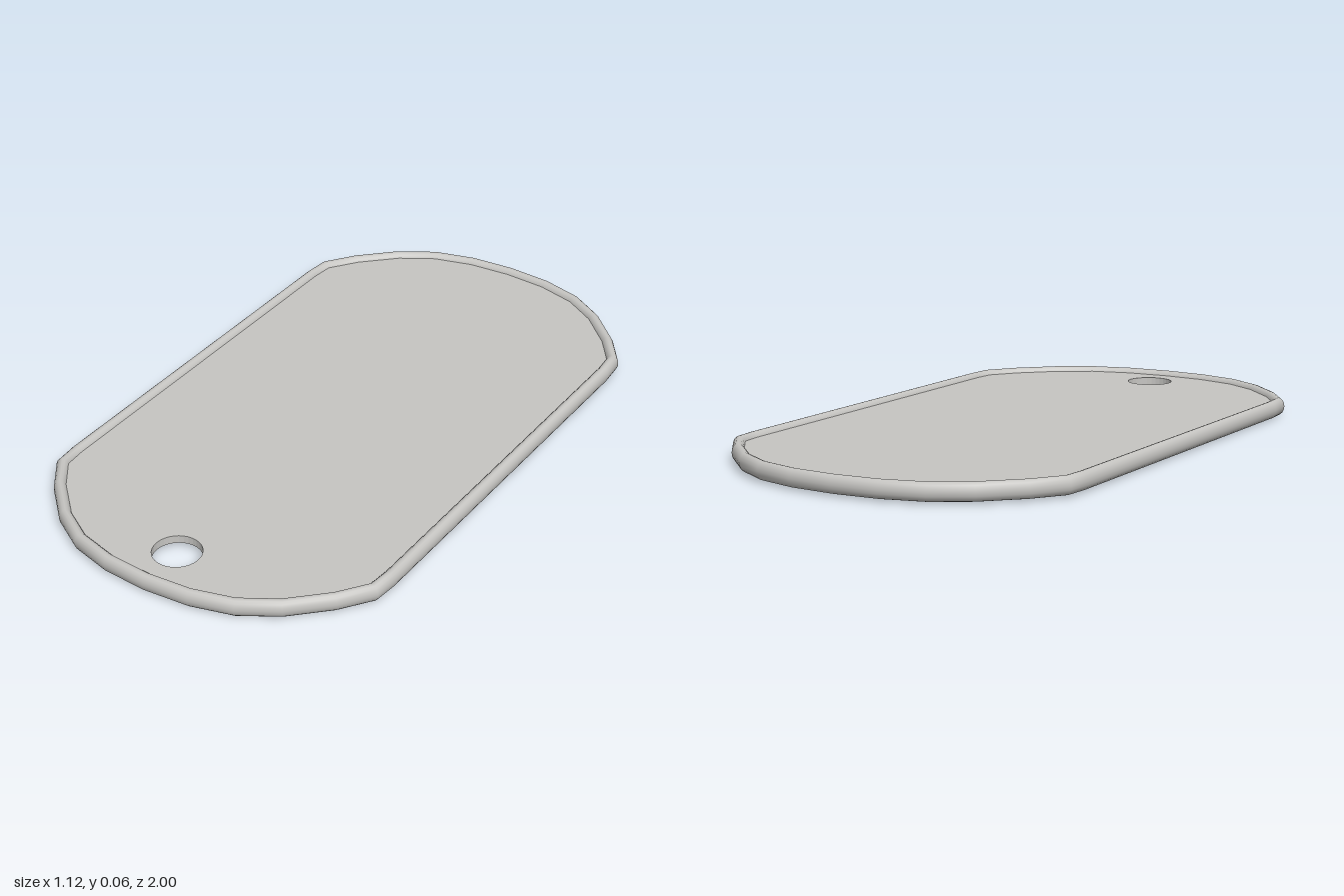
import * as THREE from 'three';

// Closed tag outline in (x, z), starting on the +x side and running towards +z
function outlinePoints() {
  const quarter = [[0.56, 0.61], [0.553, 0.69], [0.485, 0.785], [0.38, 0.888], [0.27, 0.955], [0.14, 0.99]];
  const half = [...quarter, [0, 1], ...quarter.map(([x, z]) => [-x, z]).reverse()];
  return [...half, ...half.map(([x, z]) => [-x, -z])].map(([x, z]) => new THREE.Vector2(x, z));
}

// Mitred inward direction at every outline corner
function inwardDirections(points) {
  const n = points.length;
  const edgeNormal = (a, b) => {
    const d = b.clone().sub(a).normalize();
    return new THREE.Vector2(-d.y, d.x);
  };
  return points.map((p, i) => {
    const a = edgeNormal(points[(i + n - 1) % n], p);
    const b = edgeNormal(p, points[(i + 1) % n]);
    return a.clone().add(b).divideScalar(1 + a.dot(b));
  });
}

// Rounded bead swept around the outline
function rimGeometry(points, inward) {
  const sides = 16, radiusX = 0.019, radiusY = 0.027;
  const positions = [], index = [];
  const n = points.length;
  points.forEach((p, i) => {
    for (let j = 0; j < sides; j++) {
      const angle = (j / sides) * Math.PI * 2;
      const inset = radiusX * (1 - Math.cos(angle));
      const q = p.clone().addScaledVector(inward[i], inset);
      positions.push(q.x, radiusY * Math.sin(angle), q.y);
    }
  });
  for (let i = 0; i < n; i++) {
    for (let j = 0; j < sides; j++) {
      const i2 = (i + 1) % n, j2 = (j + 1) % sides;
      const a = i * sides + j, b = i * sides + j2, c = i2 * sides + j2, d = i2 * sides + j;
      index.push(a, b, d, b, c, d);
    }
  }
  const geometry = new THREE.BufferGeometry();
  geometry.setAttribute('position', new THREE.Float32BufferAttribute(positions, 3));
  geometry.setIndex(index);
  geometry.computeVertexNormals();
  return geometry;
}

// Flat sheet with the chain hole near the front end
function plateGeometry(points, inward) {
  const thickness = 0.024;
  const shape = new THREE.Shape(points.map((p, i) => p.clone().addScaledVector(inward[i], 0.025)));
  const hole = new THREE.Path();
  hole.absarc(-0.003, 0.84, 0.071, 0, Math.PI * 2, true);
  shape.holes.push(hole);
  const geometry = new THREE.ExtrudeGeometry(shape, { depth: thickness, bevelEnabled: false, curveSegments: 16 });
  geometry.rotateX(Math.PI / 2);
  geometry.translate(0, thickness / 2, 0);
  return geometry;
}

export function createModel() {
  const steel = new THREE.MeshStandardMaterial({ color: 0xc6c5c2 });
  steel.name = 'steel';

  const points = outlinePoints();
  const inward = inwardDirections(points);

  const plate = new THREE.Mesh(plateGeometry(points, inward), steel);
  plate.name = 'plate';
  const rim = new THREE.Mesh(rimGeometry(points, inward), steel);
  rim.name = 'rolledRim';

  // The tag lies very slightly tilted, back end higher
  const tag = new THREE.Group();
  tag.name = 'tag';
  tag.add(plate, rim);
  tag.position.y = 0.031;
  tag.rotation.x = 0.003;

  const model = new THREE.Group();
  model.name = 'pendantTag';
  model.add(tag);
  return model;
}
